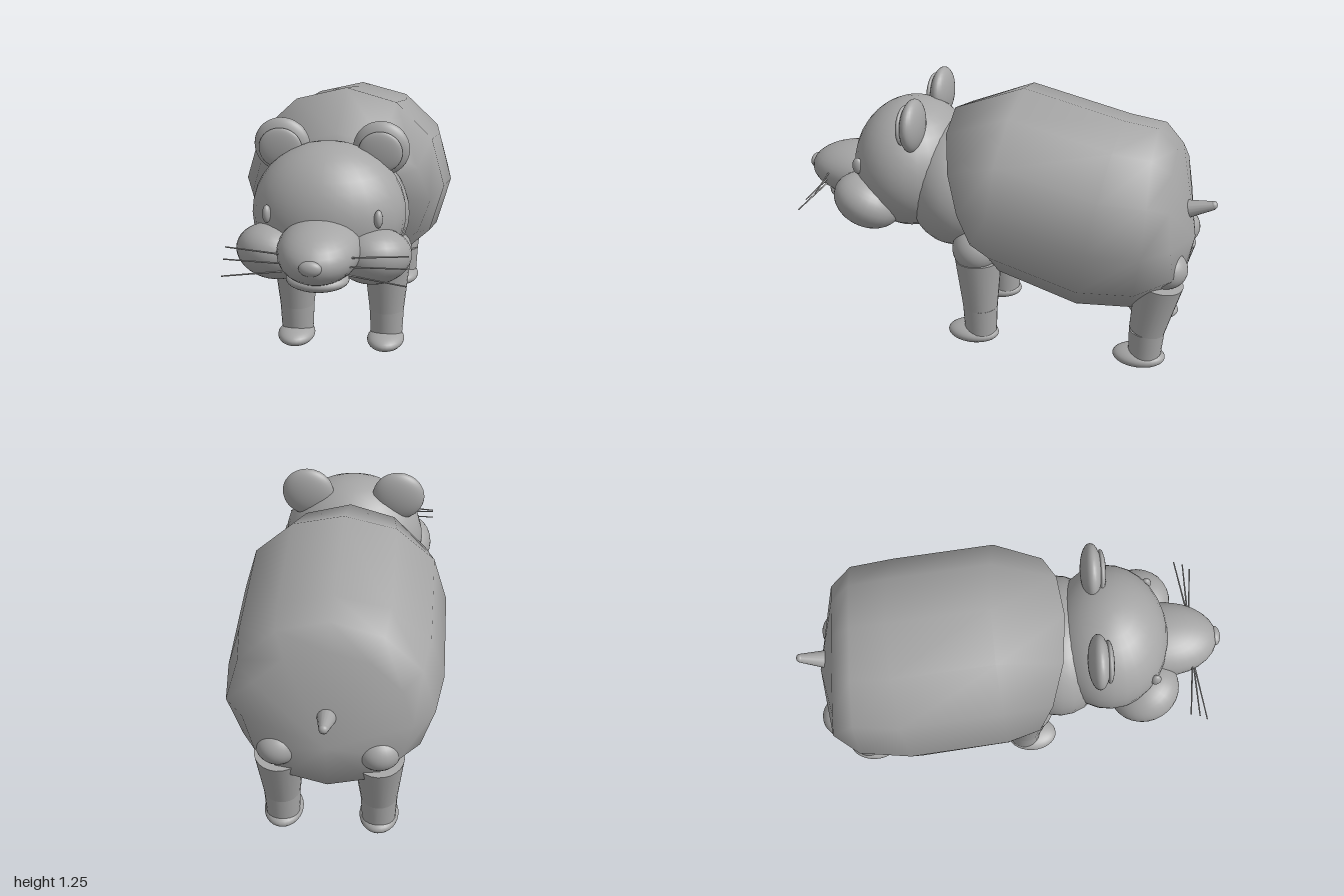
import * as THREE from 'three';

const grey = new THREE.MeshStandardMaterial({ color: 0xa6a6a6 });
grey.name = 'grey';

function add(group, name, geometry) {
  const mesh = new THREE.Mesh(geometry, grey);
  mesh.name = name;
  group.add(mesh);
  return mesh;
}

function ball(group, name, pos, radii, rotX = 0, rotZ = 0) {
  const mesh = add(group, name, new THREE.SphereGeometry(1, 28, 18));
  mesh.position.set(...pos);
  mesh.scale.set(...radii);
  mesh.rotation.set(rotX, 0, rotZ);
  return mesh;
}

// Tapered round piece running from point a (radius ra) to point b (radius rb)
function taper(group, name, a, b, ra, rb, sides = 24) {
  const start = new THREE.Vector3(...a);
  const dir = new THREE.Vector3(...b).sub(start);
  const mesh = add(group, name, new THREE.CylinderGeometry(rb, ra, dir.length(), sides));
  mesh.position.copy(start).addScaledVector(dir, 0.5);
  mesh.quaternion.setFromUnitVectors(new THREE.Vector3(0, 1, 0), dir.normalize());
  return mesh;
}

// Coarse, smoothly shaded barrel lofted through bent oval rings
function bodyGeometry() {
  const sides = 12;
  // top z, top y, side z, half width, bottom z, bottom y
  const rings = [
    [0.25, 1.12, 0.12, 0.42, 0.05, 0.43],
    [-0.08, 1.25, -0.03, 0.475, -0.03, 0.35],
    [-0.55, 1.14, -0.48, 0.485, -0.39, 0.235],
    [-0.71, 1.12, -0.72, 0.455, -0.64, 0.25],
    [-0.8, 1.03, -0.84, 0.365, -0.87, 0.36],
  ];
  const pos = [];
  const index = [];
  for (const [zt, yt, zm, w, zb, yb] of rings) {
    for (let i = 0; i < sides; i++) {
      const a = (i / sides) * Math.PI * 2;
      const c = Math.cos(a);
      pos.push(
        w * Math.sin(a),
        (yt + yb) / 2 + (c * (yt - yb)) / 2,
        zm + (c * (zt - zb)) / 2 + c * c * ((zt + zb) / 2 - zm)
      );
    }
  }
  const front = pos.length / 3;
  pos.push(0, 0.78, 0.14, 0, 0.6, -0.91);
  const back = front + 1;
  const last = (rings.length - 1) * sides;
  for (let i = 0; i < sides; i++) {
    const j = (i + 1) % sides;
    for (let r = 0; r < last; r += sides) {
      const a = r + i, b = r + j, c = a + sides, d = b + sides;
      index.push(a, b, c, b, d, c);
    }
    index.push(front, j, i, back, last + i, last + j);
  }
  const g = new THREE.BufferGeometry();
  g.setAttribute('position', new THREE.Float32BufferAttribute(pos, 3));
  g.setIndex(index);
  // Winding check: flip everything if the first side face points inward
  const v = [0, 1, 2].map((k) => new THREE.Vector3().fromArray(pos, index[k] * 3));
  const n = v[1].clone().sub(v[0]).cross(v[2].clone().sub(v[0]));
  if (n.y < 0) {
    for (let k = 0; k < index.length; k += 3) [index[k], index[k + 1]] = [index[k + 1], index[k]];
    g.setIndex(index);
  }
  g.computeVertexNormals();
  return g;
}

function makeLeg(name, x, shoulder, shoulderRadii, top, knee, ankle, foot) {
  const leg = new THREE.Group();
  leg.name = name;
  ball(leg, 'shoulder', [x, ...shoulder], shoulderRadii);
  taper(leg, 'upperLeg', [x, ...top], [x, ...knee], 0.112, 0.084);
  taper(leg, 'lowerLeg', [x, ...knee], [x, ...ankle], 0.084, 0.077);
  ball(leg, 'foot', [x, ...foot], [0.09, 0.045, 0.125]);
  return leg;
}

export function createModel() {
  const model = new THREE.Group();
  model.name = 'animal';

  add(model, 'body', bodyGeometry());
  ball(model, 'neck', [0, 0.75, 0.23], [0.335, 0.31, 0.25]);

  // Head and face
  const head = new THREE.Group();
  head.name = 'head';
  model.add(head);
  ball(head, 'skull', [0, 0.83, 0.46], [0.34, 0.312, 0.28]);
  ball(head, 'muzzle', [0, 0.755, 0.73], [0.18, 0.13, 0.255]);
  ball(head, 'lowerJaw', [0, 0.645, 0.79], [0.135, 0.045, 0.11]);
  ball(head, 'nose', [0, 0.765, 0.975], [0.048, 0.033, 0.025]);

  for (const s of [1, -1]) {
    const side = s > 0 ? 'left' : 'right';
    ball(head, side + 'Ear', [s * 0.22, 1.102, 0.385], [0.125, 0.123, 0.05]);
    ball(head, side + 'InnerEar', [s * 0.22, 1.098, 0.43], [0.097, 0.092, 0.022]);
    ball(head, side + 'Eye', [s * 0.24, 0.875, 0.66], [0.019, 0.04, 0.025]);
    ball(head, side + 'Cheek', [s * 0.22, 0.693, 0.625], [0.163, 0.123, 0.168], -0.4, s * 0.15);

    // Whiskers fan out from the muzzle: root y, root z, tip y, tip z
    for (const [y0, z0, y1, z1] of [
      [0.772, 0.855, 0.778, 0.82],
      [0.736, 0.865, 0.742, 0.867],
      [0.706, 0.875, 0.683, 0.91],
    ]) {
      taper(head, side + 'Whisker', [s * 0.13, y0, z0], [s * 0.385, y1, z1], 0.004, 0.003, 8);
    }

    // Legs
    model.add(
      makeLeg(side + 'FrontLeg', s * 0.22, [0.51, 0.09], [0.12, 0.108, 0.112],
        [0.46, 0.08], [0.2, 0.072], [0.06, 0.07], [0.05, 0.107]),
      makeLeg(side + 'BackLeg', s * 0.22, [0.53, -0.81], [0.1, 0.09, 0.1],
        [0.46, -0.785], [0.2, -0.74], [0.06, -0.735], [0.05, -0.708])
    );
  }

  // Tail
  taper(model, 'tail', [0, 0.72, -0.8], [0, 0.77, -0.985], 0.055, 0.02, 16);
  ball(model, 'tailTip', [0, 0.771, -0.982], [0.02, 0.02, 0.018]);

  return model;
}
